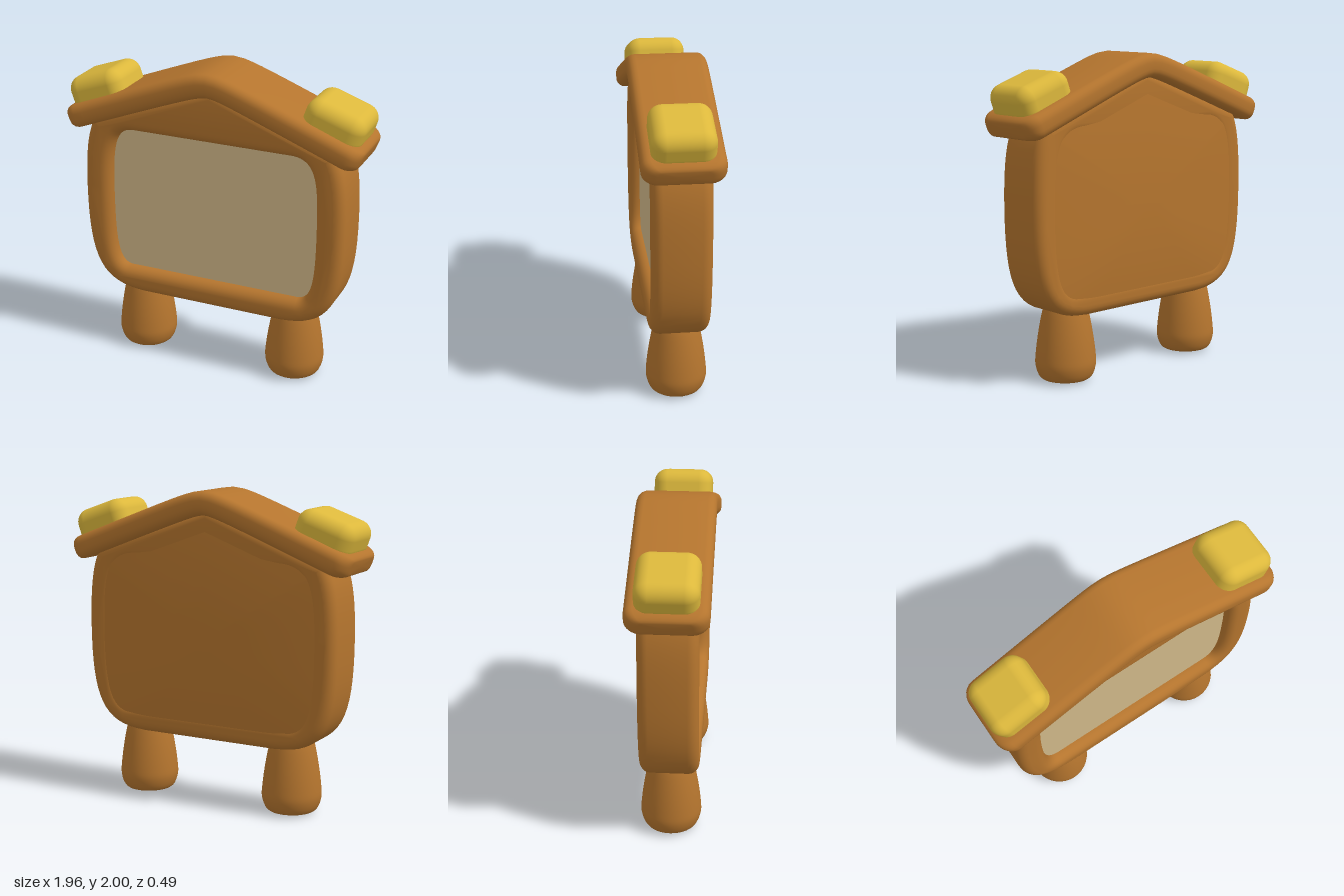
import * as THREE from 'three';
import { toCreasedNormals } from 'three/addons/utils/BufferGeometryUtils.js';
import { RoundedBoxGeometry } from 'three/addons/geometries/RoundedBoxGeometry.js';

const mat = (name, color) => {
  const m = new THREE.MeshStandardMaterial({ color });
  m.name = name;
  return m;
};

// Skin a list of closed rings (counter-clockwise around the stacking direction)
function loft(rings) {
  const n = rings[0].length, index = [];
  for (let i = 0; i < rings.length - 1; i++) {
    for (let j = 0; j < n; j++) {
      const k = (j + 1) % n;
      const a = i * n + j, b = i * n + k, c = b + n, d = a + n;
      index.push(a, b, c, a, c, d);
    }
  }
  const g = new THREE.BufferGeometry();
  g.setAttribute('position', new THREE.Float32BufferAttribute(rings.flat(2), 3));
  g.setIndex(index);
  return toCreasedNormals(g, 0.8);
}

// Barrel-sided house outline with a gable top
function houseOutline() {
  const s = new THREE.Shape();
  s.moveTo(-0.48, 0.42);
  s.lineTo(0.48, 0.42);
  s.bezierCurveTo(0.8, 0.43, 0.88, 0.6, 0.88, 1.1);
  s.bezierCurveTo(0.88, 1.35, 0.86, 1.5, 0.8, 1.6);
  s.lineTo(0, 1.9);
  s.lineTo(-0.8, 1.6);
  s.bezierCurveTo(-0.86, 1.5, -0.88, 1.35, -0.88, 1.1);
  s.bezierCurveTo(-0.88, 0.6, -0.8, 0.43, -0.48, 0.42);
  return s;
}

// Softly rounded opening
function opening(p) {
  p.moveTo(-0.58, 0.59);
  p.lineTo(0.58, 0.59);
  p.bezierCurveTo(0.68, 0.6, 0.695, 0.75, 0.695, 1.07);
  p.bezierCurveTo(0.695, 1.4, 0.68, 1.53, 0.54, 1.54);
  p.lineTo(-0.54, 1.54);
  p.bezierCurveTo(-0.68, 1.53, -0.695, 1.4, -0.695, 1.07);
  p.bezierCurveTo(-0.695, 0.75, -0.68, 0.6, -0.58, 0.59);
  return p;
}

// Bent roof slab with rounded edges and ends
function roofGeometry() {
  const ringAt = (x, halfH, halfW) => {
    const soft = Math.hypot(x, 0.08);
    const y = 1.925 - 0.39 * (soft - 0.08);
    const tilt = Math.atan(-0.39 * x / soft);
    const r = Math.min(0.055, halfH * 0.8), ring = [];
    for (let c = 0; c < 4; c++) {
      for (let s = 0; s <= 5; s++) {
        const a = (c + s / 5) * Math.PI / 2;
        const sy = c === 0 || c === 3 ? 1 : -1, sz = c < 2 ? 1 : -1;
        const v = sy * (halfH - r) + r * Math.cos(a);
        const w = sz * (halfW - r) + r * Math.sin(a);
        ring.push([x - Math.sin(tilt) * v, y + Math.cos(tilt) * v, w]);
      }
    }
    return ring;
  };
  const L = 0.965, r = 0.08, right = [];
  for (let i = 0; i <= 6; i++) {
    const a = i / 6 * Math.PI / 2, inset = 1 - Math.cos(a);
    right.push([L - r * (1 - Math.sin(a)), 0.075 - 0.035 * inset, 0.245 - 0.09 * inset]);
  }
  right.push([L, 0.0001, 0.0001]);
  const stations = right.map(([x, h, w]) => [-x, h, w]).reverse();
  for (let i = 1; i < 32; i++) stations.push([(L - r) * (i / 16 - 1), 0.075, 0.245]);
  stations.push(...right);
  return loft(stations.map(s => ringAt(...s)));
}

export function createModel() {
  const model = new THREE.Group();
  const wood = mat('brown wood', 0xb5752e);
  const board = mat('pale board', 0xd3ba8a);
  const straw = mat('yellow', 0xdcb83c);
  const add = (name, geometry, material) => {
    const m = new THREE.Mesh(geometry, material);
    m.name = name;
    model.add(m);
    return m;
  };

  // Rounded frame with its opening
  const outline = houseOutline();
  outline.holes.push(opening(new THREE.Path()));
  const bevel = 0.065;
  const frame = new THREE.ExtrudeGeometry(outline, {
    depth: 0.36 - 2 * bevel, bevelThickness: bevel, bevelSize: bevel,
    bevelOffset: -bevel, bevelSegments: 6, curveSegments: 16,
  });
  frame.translate(0, 0, bevel - 0.18);
  add('frame', toCreasedNormals(frame, 0.75), wood);

  // Recessed notice board
  const panel = opening(new THREE.Shape());
  const panelGeo = new THREE.ExtrudeGeometry(panel, { depth: 0.04, bevelEnabled: false, curveSegments: 16 });
  panelGeo.translate(0, 0, 0.07);
  add('boardPanel', panelGeo, board);

  // Gently domed back
  const edge = houseOutline().getPoints(12).slice(0, -1).reverse();
  const domeRings = [1, 0.9, 0.75, 0.55, 0.3, 0.0001].map(t =>
    edge.map(p => [p.x * 0.92 * t, 1.07 + (p.y - 1.07) * 0.9 * t, -0.174 - 0.034 * (1 - t * t)]));
  add('backPanel', loft(domeRings), wood);

  add('roof', roofGeometry(), wood);

  // Legs and roof bundles, mirrored
  const legProfile = new THREE.SplineCurve([
    [0.11, 0.002], [0.16, 0.02], [0.187, 0.09], [0.185, 0.17], [0.168, 0.3], [0.143, 0.43], [0.12, 0.5],
  ].map(p => new THREE.Vector2(...p))).getPoints(24);
  const legGeo = new THREE.LatheGeometry([new THREE.Vector2(0, 0), ...legProfile], 36);
  for (const side of [1, -1]) {
    const label = side > 0 ? 'left' : 'right';
    add(label + 'Leg', legGeo, wood).position.x = 0.525 * side;
    const bundle = add(label + 'RoofBundle', new RoundedBoxGeometry(0.385, 0.23, 0.375, 6, 0.085), straw);
    bundle.position.set(0.778 * side, 1.767, 0);
    bundle.rotation.z = -0.34 * side;
  }
  return model;
}
